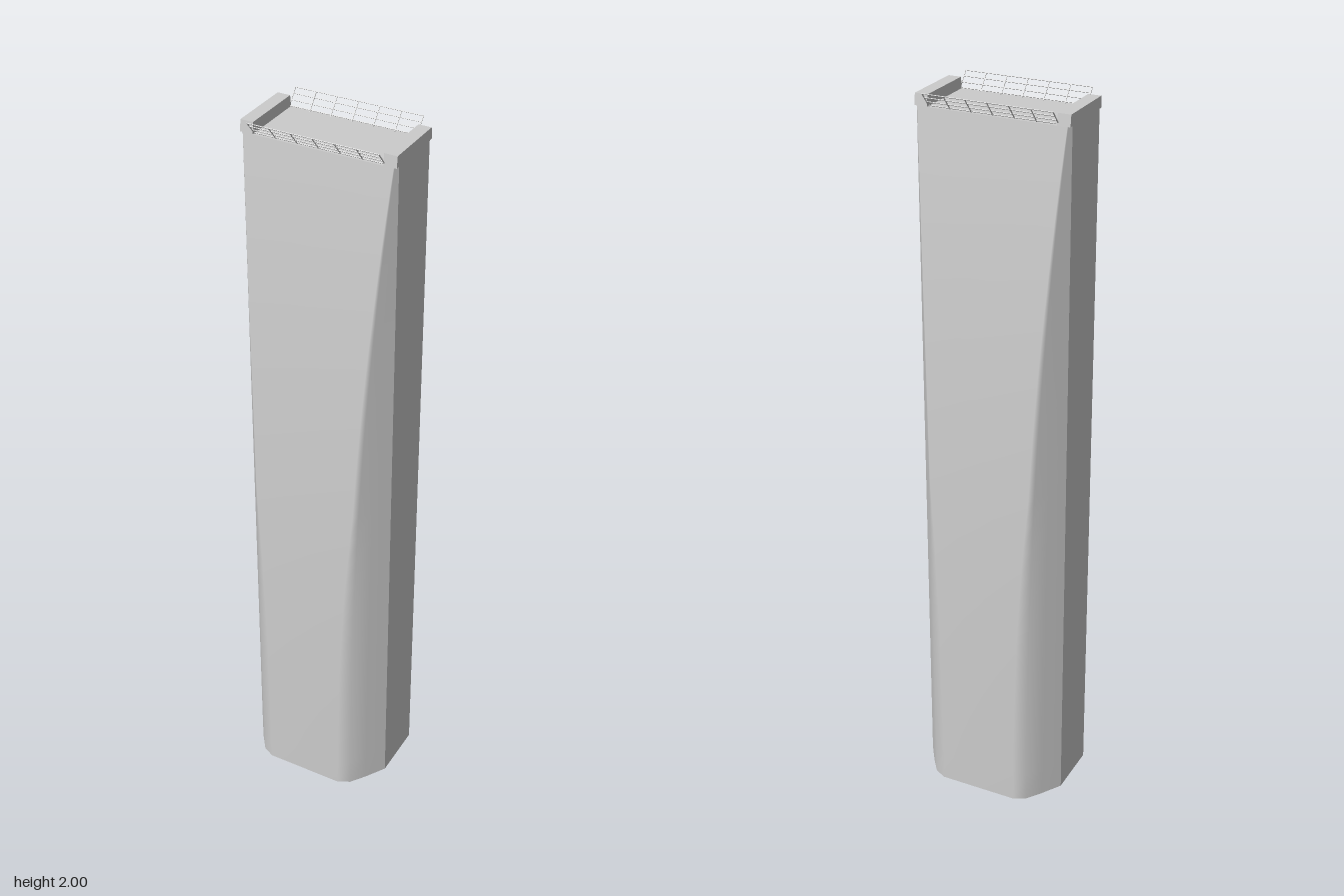
import * as THREE from 'three';

const ROOF = 1.96, TOP = 1.99;
const mat = new THREE.MeshStandardMaterial({ color: 0xcccccc, side: THREE.DoubleSide });

// Half depth of the tower at height y: bowed faces that taper to the top
const halfDepth = y => 0.193 - 0.106 * Math.pow(y / 2, 2.5);

// Half width of the chamfered plan at depth z
const plan = [[0.08, 0.21], [0.135, 0.175], [0.176, 0.145], [0.193, 0.112]];
function halfWidth(z) {
  for (let i = 1; i < plan.length; i++) {
    const [z0, x0] = plan[i - 1], [z1, x1] = plan[i];
    if (z <= z1) return x0 + (x1 - x0) * (z - z0) / (z1 - z0);
  }
  return plan[plan.length - 1][1];
}

// Half section from the side edge to the middle of the face, cut off at the bowed face
function faceRow(y) {
  const d = halfDepth(y);
  const half = [0, 0.49, 0.85, 1].map(t => {
    const z = 0.08 + t * (d - 0.08);
    return [halfWidth(z), y, z];
  });
  return [...half.map(([x, , z]) => [-x, y, z]), ...half.reverse()];
}
const sideRow = y => [[0.21, y, 0.08], [0.21, y, -0.08]];

// Surface through equal-length rows of points, listed from bottom to top
function loft(rows) {
  const n = rows[0].length, index = [];
  for (let r = 0; r < rows.length - 1; r++) {
    for (let i = 0; i < n - 1; i++) {
      const a = r * n + i, b = a + 1, c = a + n, d = c + 1;
      index.push(a, b, d, a, d, c);
    }
  }
  const g = new THREE.BufferGeometry();
  g.setAttribute('position', new THREE.Float32BufferAttribute(rows.flat(2), 3));
  g.setIndex(index);
  g.computeVertexNormals();
  return g;
}

function add(parent, name, geometry) {
  const m = new THREE.Mesh(geometry, mat);
  m.name = name;
  parent.add(m);
  return m;
}

// Flared railing, built upright along x and then leaned outwards
function makeRailing(name) {
  const rail = new THREE.Group();
  rail.name = name;
  const width = 0.35, length = 0.053, t = 0.002;
  for (let i = 0; i <= 6; i++) {
    add(rail, 'railingPost', new THREE.BoxGeometry(t, length, t))
      .position.set(-width / 2 + width * i / 6, length / 2, 0);
  }
  for (const f of [0.08, 0.36, 0.68, 0.98]) {
    add(rail, 'railingBar', new THREE.BoxGeometry(width, t, t)).position.y = length * f;
  }
  rail.rotation.x = 0.71;
  rail.position.set(0.002, ROOF, 0.085);
  return rail;
}

export function createModel() {
  const tower = new THREE.Group();
  tower.name = 'tower';

  const levels = Array.from({ length: 25 }, (_, i) => ROOF * i / 24);
  const face = loft(levels.map(faceRow));
  const side = loft([sideRow(0), sideRow(ROOF)]);

  // Bowed faces and flat side walls, each repeated by a half turn
  for (const [turn, f, s] of [[0, 'front', 'left'], [Math.PI, 'back', 'right']]) {
    const half = new THREE.Group();
    half.name = f + 'Half';
    half.rotation.y = turn;
    add(half, f + 'Face', face);
    add(half, s + 'Wall', side);

    // Raised parapet at the end of the roof, narrowing with the faces
    const parapet = new THREE.BoxGeometry(0.035, TOP - ROOF, 2);
    parapet.translate(0.1925, (ROOF + TOP) / 2, 0);
    const p = parapet.attributes.position;
    for (let i = 0; i < p.count; i++) p.setZ(i, p.getZ(i) * halfDepth(p.getY(i)));
    parapet.computeVertexNormals();
    add(half, s + 'Parapet', parapet);

    half.add(makeRailing(f + 'Railing'));
    tower.add(half);
  }

  // Sunken roof deck
  const roof = new THREE.PlaneGeometry(0.418, 2 * halfDepth(ROOF));
  roof.rotateX(-Math.PI / 2);
  add(tower, 'roof', roof).position.y = ROOF;

  return tower;
}
